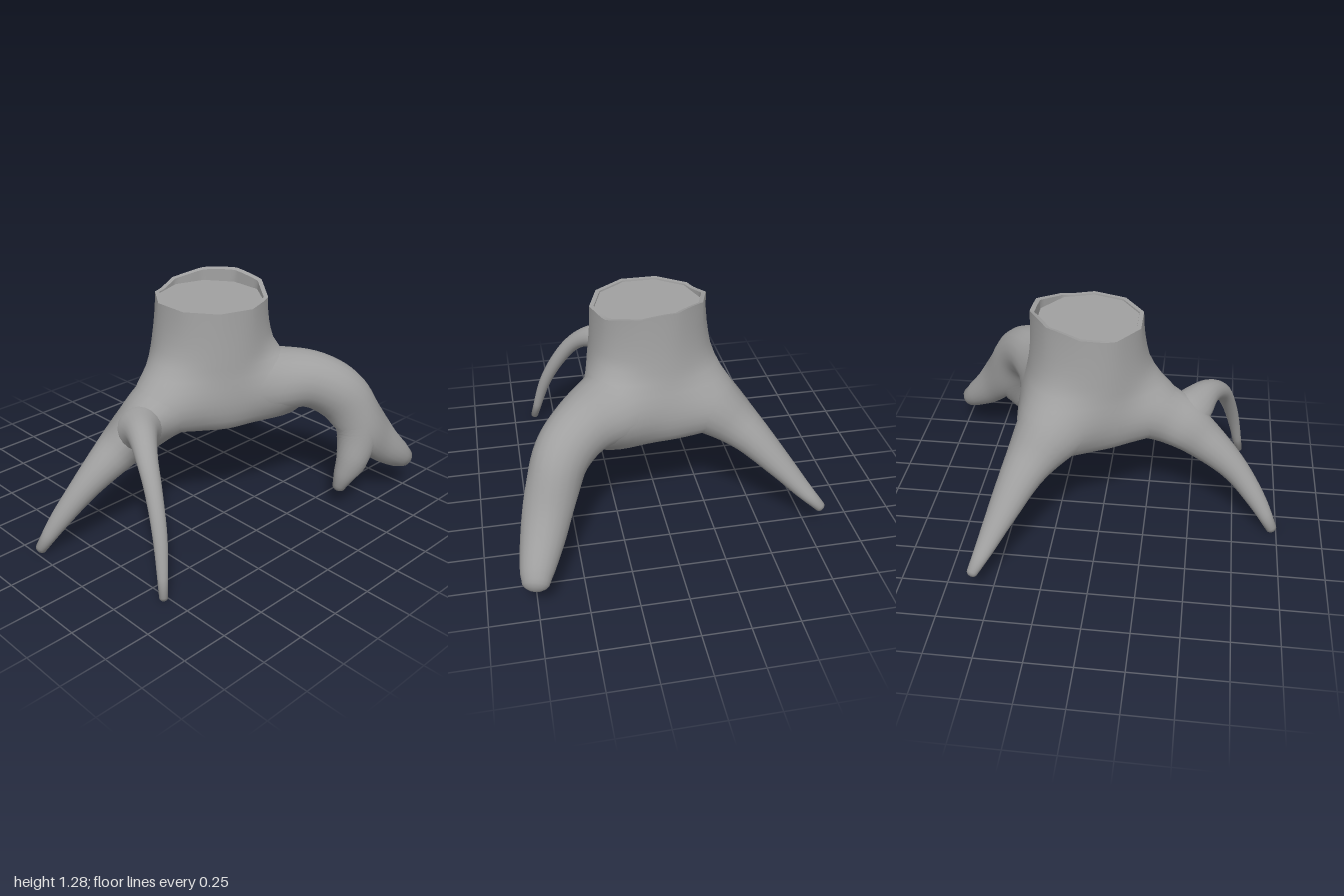
import * as THREE from 'three';

const CENTRE = { x: 0.04, z: -0.09 };
const TOP = 1.22;
const material = new THREE.MeshStandardMaterial({ color: 0xa0a0a0, side: THREE.DoubleSide });

// Skin a list of closed rings (arrays of Vector3) with smooth normals
function skin(name, rings) {
  const n = rings[0].length;
  const index = [];
  for (let i = 0; i < rings.length - 1; i++) {
    for (let j = 0; j < n; j++) {
      const k = (j + 1) % n;
      const a = i * n + j, b = i * n + k, c = a + n, d = b + n;
      index.push(a, c, b, b, c, d);
    }
  }
  const geometry = new THREE.BufferGeometry().setFromPoints(rings.flat());
  geometry.setIndex(index);
  geometry.computeVertexNormals();
  const mesh = new THREE.Mesh(geometry, material);
  mesh.name = name;
  return mesh;
}

// Tapering root through stations [x, y, z, halfWidth, halfHeight], with a rounded tip
function root(name, stations, sides = 20) {
  const path = new THREE.CatmullRomCurve3(
    stations.map(s => new THREE.Vector3(s[0], s[1], s[2])), false, 'catmullrom', 0.5);
  const size = new THREE.CatmullRomCurve3(
    stations.map(s => new THREE.Vector3(s[3], s[4], 0)), false, 'catmullrom', 0.5);
  const up = new THREE.Vector3(0, 1, 0);
  const steps = (stations.length - 1) * 6;
  const rings = [];
  const addRing = (t, push, scale) => {
    const tangent = path.getTangent(t);
    const side = tangent.clone().cross(up).normalize();
    const normal = side.clone().cross(tangent);
    const s = size.getPoint(t);
    const c = path.getPoint(t).addScaledVector(tangent, push * s.y);
    rings.push(Array.from({ length: sides }, (_, j) => {
      const a = j / sides * Math.PI * 2;
      return c.clone()
        .addScaledVector(side, Math.cos(a) * s.x * scale)
        .addScaledVector(normal, Math.sin(a) * s.y * scale);
    }));
  };
  for (let i = 0; i <= steps; i++) addRing(i / steps, 0, 1);
  for (const a of [0.4, 0.8, 1.2, 1.56]) addRing(1, Math.sin(a) * 0.8, Math.cos(a));
  return skin(name, rings);
}

// Directions in which the trunk swells towards its roots: [x, z, strength]
const LOBES = [[-0.86, -0.5, 0.85], [0.72, -0.69, 1.15], [0, 1, 0.95], [-0.2, -0.98, 0.2]];

// Ring of the trunk: base radius, swelling, and how far it is cut to ten flat sides
function trunkRing(y, radius, lobe, facet, rim = 0, n = 60) {
  return Array.from({ length: n }, (_, j) => {
    const a = j / n * Math.PI * 2;
    const x = Math.cos(a), z = Math.sin(a);
    const step = Math.PI / 5;
    const flat = Math.cos(step / 2) / Math.cos((a % step) - step / 2);
    let r = radius * (1 + facet * (flat - 1));
    for (const [lx, lz, s] of LOBES) r += lobe * s * Math.max(0, x * lx + z * lz) ** 8;
    const raised = rim * Math.max(0, -0.45 * x - 0.89 * z) ** 1.2;
    return new THREE.Vector3(CENTRE.x + r * x, y + raised, CENTRE.z + r * z);
  });
}

// Average normals between neighbouring skins so that the shading flows across the joints
function blendNormals(meshes, reach) {
  const read = (m, key) => Array.from({ length: m.geometry.attributes.position.count },
    (_, i) => new THREE.Vector3().fromBufferAttribute(m.geometry.attributes[key], i));
  const points = meshes.flatMap(m => read(m, 'position'));
  const normals = meshes.flatMap(m => read(m, 'normal'));
  let v = 0;
  for (const mesh of meshes) {
    const target = mesh.geometry.attributes.normal;
    for (let i = 0; i < target.count; i++, v++) {
      const sum = normals[v].clone().multiplyScalar(0.1);
      for (let k = 0; k < points.length; k++) {
        const near = 1 - points[v].distanceToSquared(points[k]) / (reach * reach);
        if (near <= 0) continue;
        const agree = normals[v].dot(normals[k]);
        if (agree > 0) sum.addScaledVector(normals[k], near * near * agree);
      }
      sum.normalize();
      target.setXYZ(i, sum.x, sum.y, sum.z);
    }
  }
}

export function createModel() {
  const group = new THREE.Group();
  group.name = 'treeStump';

  // Trunk, from the underside up to the cut
  const trunk = skin('trunk', [
    trunkRing(0.54, 0.001, 0, 0),
    trunkRing(0.543, 0.17, 0.04, 0),
    trunkRing(0.556, 0.27, 0.1, 0),
    trunkRing(0.59, 0.322, 0.15, 0),
    trunkRing(0.63, 0.333, 0.18, 0),
    trunkRing(0.68, 0.335, 0.2, 0),
    trunkRing(0.73, 0.335, 0.2, 0),
    trunkRing(0.77, 0.333, 0.175, 0),
    trunkRing(0.81, 0.33, 0.145, 0),
    trunkRing(0.86, 0.327, 0.095, 0),
    trunkRing(0.92, 0.323, 0.05, 0),
    trunkRing(0.98, 0.318, 0.02, 0.1),
    trunkRing(1.04, 0.313, 0.01, 0.25),
    trunkRing(1.1, 0.309, 0.004, 0.45),
    trunkRing(1.16, 0.306, 0, 0.7),
    trunkRing(TOP, 0.304, 0, 1, 0.068),
  ]);

  // Straight root on the right
  const rightRoot = root('rightRoot', [
    [-0.05, 0.745, -0.14, 0.25, 0.2],
    [-0.22, 0.7, -0.24, 0.21, 0.175],
    [-0.42, 0.56, -0.365, 0.128, 0.108],
    [-0.6, 0.375, -0.47, 0.082, 0.068],
    [-0.72, 0.24, -0.54, 0.052, 0.046],
    [-0.81, 0.148, -0.592, 0.03, 0.028],
  ]);

  // Front root and its thin side branch
  const frontRoot = root('frontRoot', [
    [0.04, 0.72, 0.03, 0.25, 0.185],
    [0.035, 0.685, 0.25, 0.195, 0.165],
    [0.025, 0.6, 0.43, 0.145, 0.137],
    [0, 0.48, 0.6, 0.108, 0.103],
    [-0.035, 0.345, 0.75, 0.075, 0.074],
    [-0.088, 0.18, 0.88, 0.054, 0.052],
    [-0.135, 0.03, 0.972, 0.031, 0.03],
  ]);
  const frontBranch = root('frontBranch', [
    [-0.02, 0.56, 0.36, 0.09, 0.09],
    [0.1, 0.645, 0.475, 0.115, 0.115],
    [0.22, 0.685, 0.56, 0.078, 0.074],
    [0.34, 0.63, 0.635, 0.056, 0.05],
    [0.445, 0.5, 0.685, 0.044, 0.042],
    [0.545, 0.3, 0.735, 0.036, 0.034],
    [0.622, 0.03, 0.787, 0.022, 0.022],
  ]);

  // Thick arched root at the back left, with a short spur under it
  const backRoot = root('backRoot', [
    [0.11, 0.74, -0.16, 0.27, 0.2],
    [0.29, 0.75, -0.32, 0.215, 0.175],
    [0.44, 0.75, -0.46, 0.163, 0.157],
    [0.56, 0.67, -0.57, 0.142, 0.152],
    [0.635, 0.51, -0.67, 0.13, 0.135],
    [0.695, 0.35, -0.79, 0.112, 0.112],
    [0.738, 0.25, -0.9, 0.088, 0.084],
    [0.752, 0.213, -0.95, 0.072, 0.064],
  ]);
  const backSpur = root('backSpur', [
    [0.61, 0.6, -0.63, 0.1, 0.11],
    [0.65, 0.43, -0.635, 0.108, 0.115],
    [0.672, 0.3, -0.585, 0.088, 0.095],
    [0.66, 0.21, -0.54, 0.06, 0.062],
    [0.652, 0.145, -0.51, 0.038, 0.038],
  ]);

  const wood = [trunk, rightRoot, frontRoot, frontBranch, backRoot, backSpur];
  blendNormals(wood, 0.13);

  // Bark rim, raised at the back, and the cut wood inside it
  group.add(
    ...wood,
    skin('barkRim', [trunkRing(TOP, 0.304, 0, 1, 0.068), trunkRing(TOP, 0.28, 0, 1, 0.06)]),
    skin('barkInside', [trunkRing(TOP, 0.28, 0, 1, 0.06), trunkRing(TOP - 0.01, 0.278, 0, 1)]),
    skin('cutWood', [trunkRing(TOP - 0.008, 0.279, 0, 1), trunkRing(TOP - 0.008, 0.001, 0, 1)]),
  );
  return group;
}
